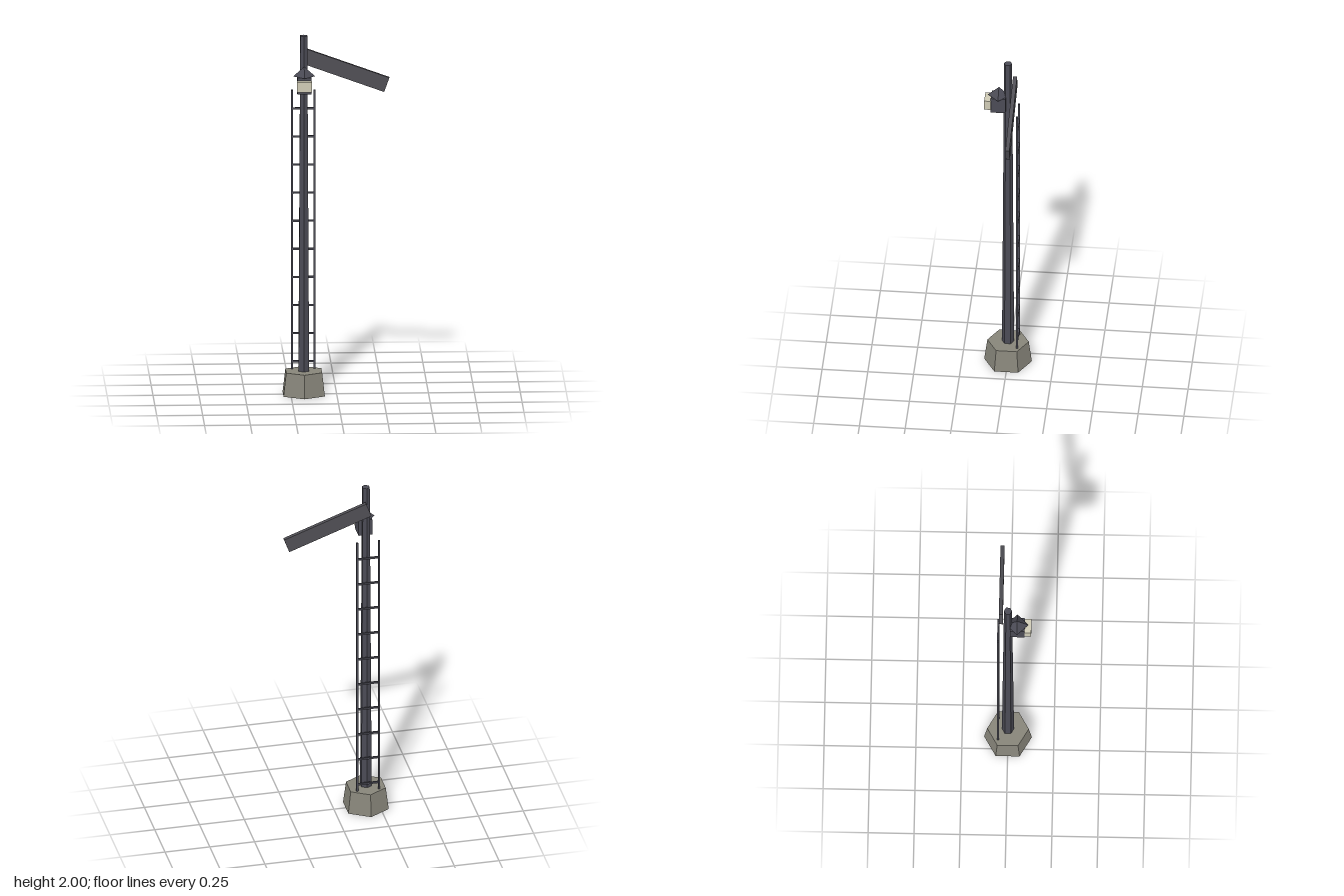
import * as THREE from 'three';

export function createModel() {
  const group = new THREE.Group();
  const paint = (name, color) => {
    const m = new THREE.MeshStandardMaterial({ color, flatShading: true });
    m.name = name;
    return m;
  };
  const concrete = paint('concrete', 0x87857a);
  const iron = paint('dark iron', 0x4b4b55);
  const armPaint = paint('arm grey', 0x504f55);
  const glass = paint('pale glass', 0xcfcbb6);

  const add = (name, geometry, material, x, y, z, parent = group) => {
    const mesh = new THREE.Mesh(geometry, material);
    mesh.name = name;
    mesh.position.set(x, y, z);
    parent.add(mesh);
    return mesh;
  };
  const box = (w, h, d) => new THREE.BoxGeometry(w, h, d);
  const mastX = -0.179;

  // Hexagonal footing and tapered mast
  add('footing', new THREE.CylinderGeometry(0.113, 0.13, 0.13, 6), concrete, mastX, 0.065, 0);
  add('mast', new THREE.CylinderGeometry(0.022, 0.033, 1.87, 6), iron, mastX, 1.065, 0);

  // Drooping signal arm behind the mast
  const arm = add('signalArm', box(0.488, 0.084, 0.022), armPaint, 0.045, 1.798, -0.039);
  arm.rotation.z = -THREE.MathUtils.degToRad(20);

  // Lamp: housing, pyramid roof and lens on the front
  const lamp = new THREE.Group();
  lamp.name = 'lamp';
  lamp.position.set(mastX, 0, 0);
  group.add(lamp);
  add('lampHousing', box(0.077, 0.093, 0.081), iron, 0, 1.738, 0.051, lamp);
  add('lampRoof', new THREE.ConeGeometry(0.06, 0.054, 4), iron, 0, 1.811, 0.05, lamp);
  add('lampLens', box(0.082, 0.057, 0.036), glass, 0, 1.739, 0.109, lamp);

  // Ladder at the back: two rails and evenly spaced rungs
  const ladder = new THREE.Group();
  ladder.name = 'ladder';
  ladder.position.set(mastX, 0, -0.054);
  group.add(ladder);
  for (const side of [-1, 1]) {
    add('ladderRail', box(0.011, 1.565, 0.011), iron, side * 0.061, 0.9025, 0, ladder);
  }
  for (let i = 0; i < 10; i++) {
    add('ladderRung', box(0.122, 0.01, 0.01), iron, 0, 0.171 + i * 0.1568, 0, ladder);
  }

  return group;
}
